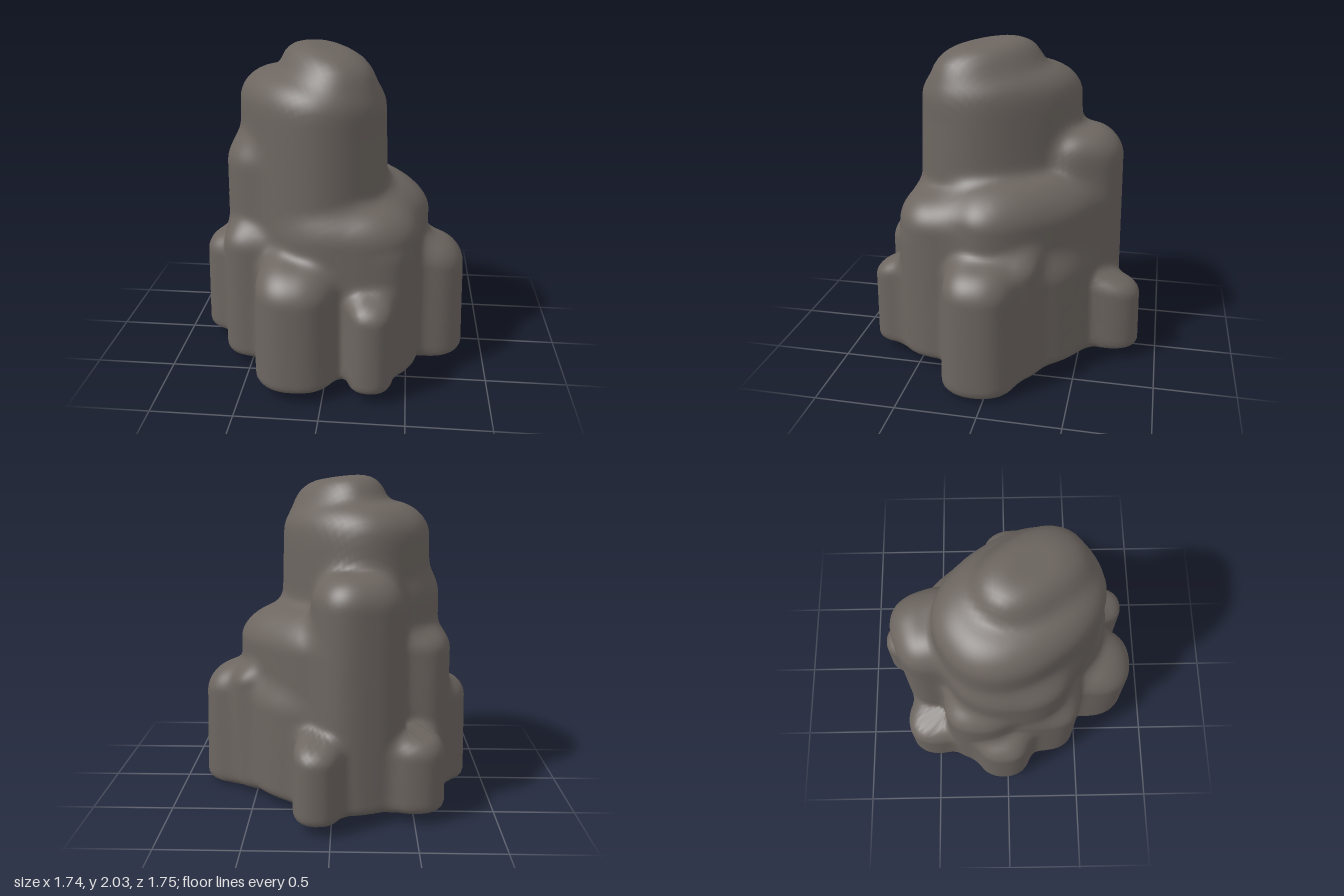
import * as THREE from 'three';
import { mergeVertices } from 'three/addons/utils/BufferGeometryUtils.js';

// One stone pillar: centre x, z, radii a, b and top height; rounding follows the width.
// square: 2 is an ellipse, more is boxier; fallX, fallZ: slope of the top
function pillar(x, z, a, b, top, options = {}) {
  const { turn = 0, bottom = 0.05, taper = 0.05, square = 2.3, fallX = 0, fallZ = 0 } = options;
  const angle = THREE.MathUtils.degToRad(turn);
  return {
    x, z, a, b, top, bottom, taper, square, fallX, fallZ,
    round: Math.min(0.2, 0.65 * Math.min(a, b)),
    c: Math.cos(angle), s: Math.sin(angle),
  };
}

const upperMass = [
  pillar(-0.03, 0.14, 0.35, 0.24, 2.0, { turn: 55, bottom: 1.6, taper: 0, fallX: 0.1, fallZ: 0.08 }), // cap
  pillar(-0.13, 0.07, 0.58, 0.45, 1.86, { turn: 55, taper: 0.12 }),                      // core
  pillar(-0.38, 0.03, 0.30, 0.38, 1.5, { fallX: -0.1 }),                                 // left column
  pillar(-0.15, -0.44, 0.28, 0.28, 1.47, { turn: -18, taper: 0.06, square: 2.6 }),       // back column
];
const ledges = [
  pillar(0.18, -0.13, 0.52, 0.31, 1.23, { turn: 50, square: 2.8, fallX: 0.22, fallZ: -0.12 }), // right shoulder
  pillar(0.14, 0.33, 0.43, 0.34, 1.12, { taper: 0.03, square: 2.5 }),                    // front shelf
  pillar(-0.54, -0.18, 0.20, 0.23, 1.1),                                                 // left shelf
  pillar(-0.43, 0.24, 0.25, 0.25, 0.95, { square: 2.8 }),                                // front left side
  pillar(0.35, 0.46, 0.13, 0.15, 0.9),                                                   // front right rib
];
const feet = [
  pillar(-0.66, -0.03, 0.21, 0.20, 0.74, { taper: 0.08 }),                               // left
  pillar(-0.17, 0.59, 0.26, 0.28, 0.82, { taper: 0.08, fallZ: 0.2 }),                    // large front
  pillar(0.28, 0.67, 0.14, 0.17, 0.64, { fallZ: 0.25 }),                                 // small front
  pillar(0.63, 0.06, 0.24, 0.24, 0.8, { bottom: 0, taper: 0.1, fallX: 0.2 }),            // right
  pillar(0.48, -0.12, 0.18, 0.17, 0.85, { bottom: 0.02, fallX: 0.3 }),                   // right back
  pillar(0.08, -0.68, 0.15, 0.20, 0.54, { fallZ: -0.15 }),                               // back
  pillar(-0.50, -0.50, 0.19, 0.20, 0.52),                                                // back left
  pillar(0, 0, 0.58, 0.58, 0.8),                                                         // middle
];
const pillars = [...upperMass, ...ledges, ...feet];

// Approximate distance to one round-edged, tapering pillar
function pillarDistance(p, x, y, z) {
  const dx = x - p.x, dz = z - p.z;
  const height = p.top - p.bottom, mid = (p.top + p.bottom) / 2;
  const rise = THREE.MathUtils.clamp((y - p.bottom) / height, 0, 1);
  const k = 1 - p.taper * rise;
  const u = Math.abs(dx * p.c + dz * p.s) / (p.a * k);
  const w = Math.abs(dz * p.c - dx * p.s) / (p.b * k);
  const level = y + (p.fallX * dx + p.fallZ * dz) * rise;
  const r = level > mid ? p.round : 0.05;
  const reach = Math.pow(u ** p.square + w ** p.square, 1 / p.square);
  const h = (reach - 1) * Math.min(p.a, p.b) * k + r;
  const v = Math.abs(level - mid) - height / 2 + r;
  return Math.hypot(Math.max(h, 0), Math.max(v, 0)) + Math.min(Math.max(h, v), 0) - r;
}

// Pillars melted softly together
function rockDistance(x, y, z) {
  const soft = 0.07;
  let d = 10;
  for (const p of pillars) {
    const e = pillarDistance(p, x, y, z);
    const h = Math.max(soft - Math.abs(d - e), 0) / soft;
    d = Math.min(d, e) - h * h * soft * 0.25;
  }
  return d;
}

// Shrink a fine ball onto the rock from the outside
function rockGeometry() {
  const ball = new THREE.IcosahedronGeometry(1, 44);
  ball.deleteAttribute('normal');
  ball.deleteAttribute('uv');
  const geometry = mergeVertices(ball, 1e-5);
  const pos = geometry.attributes.position;
  const centre = new THREE.Vector3(-0.03, 0.6, 0.02);
  const dir = new THREE.Vector3(), point = new THREE.Vector3();
  for (let i = 0; i < pos.count; i++) {
    dir.fromBufferAttribute(pos, i).normalize();
    let t = 1.7;
    for (let n = 0; n < 90; n++) {
      point.copy(centre).addScaledVector(dir, t);
      const d = rockDistance(point.x, point.y, point.z);
      if (d < 0.0008) break;
      t -= d * 0.65;
    }
    pos.setXYZ(i, point.x, point.y, point.z);
  }
  geometry.computeVertexNormals();
  return geometry;
}

export function createModel() {
  const group = new THREE.Group();
  const stone = new THREE.MeshStandardMaterial({ color: 0x6c6560 });
  stone.name = 'stone';
  const rock = new THREE.Mesh(rockGeometry(), stone);
  rock.name = 'rock';
  group.add(rock);
  return group;
}
